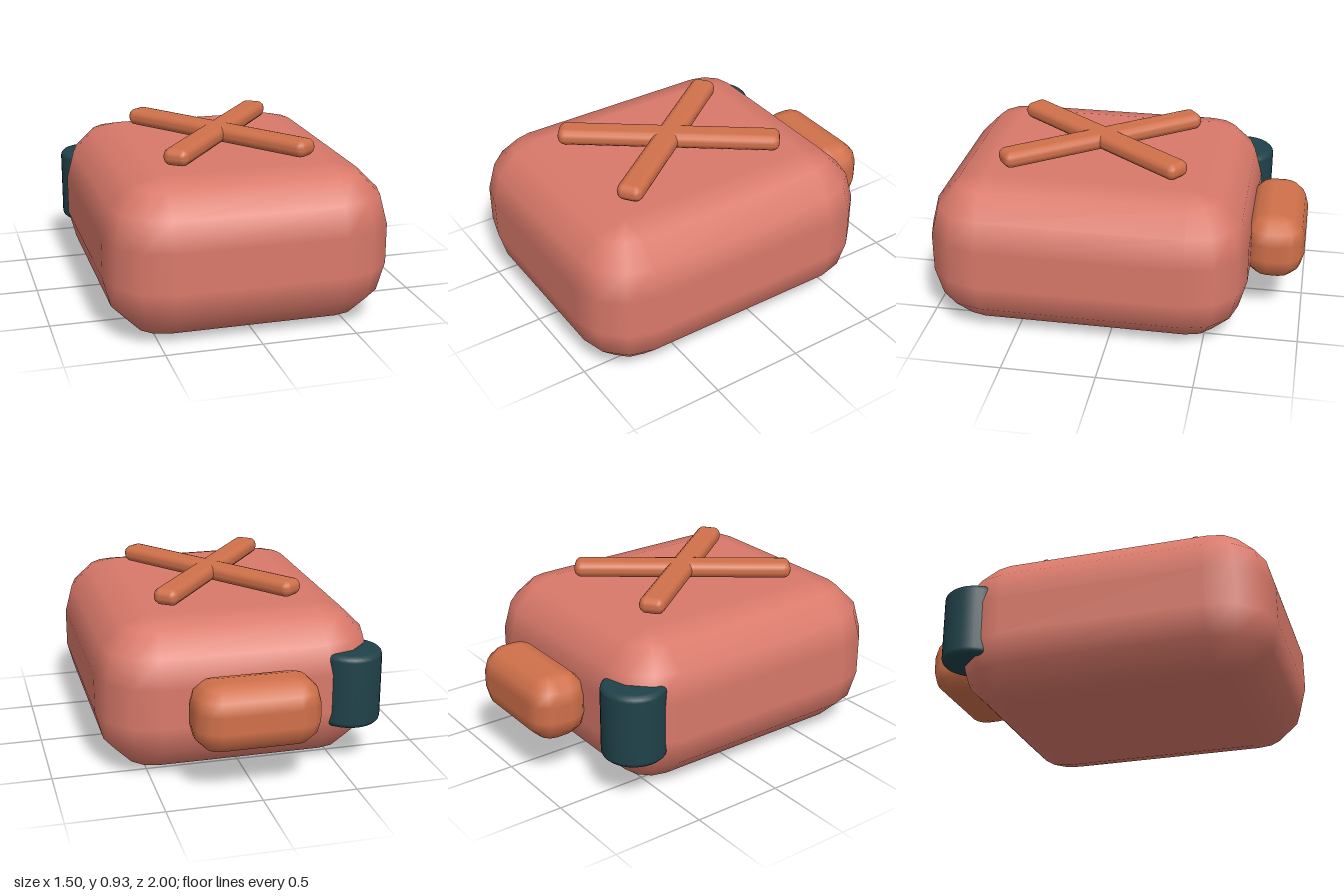
import * as THREE from 'three';

const mat = (name, color) => Object.assign(new THREE.MeshStandardMaterial({ color }), { name });

// Box with three-step rounded edges: a coarse sphere pulled apart into eight corners
function roundBox(w, h, d, r, steps = 3) {
  const pos = [], nor = [], idx = [];
  const rows = 2 * (steps + 1), cols = 4 * (steps + 1);
  const [a, b, c] = [w / 2 - r, h / 2 - r, d / 2 - r];
  for (let i = 0; i < rows; i++) {
    const top = i > steps;
    const lat = ((top ? i - 1 : i) / steps - 1) * Math.PI / 2;
    for (let j = 0; j < cols; j++) {
      const quad = Math.floor(j / (steps + 1));
      const lon = (j - quad) / steps * Math.PI / 2;
      const n = [Math.cos(lat) * Math.cos(lon), Math.sin(lat), Math.cos(lat) * Math.sin(lon)];
      const sx = quad === 0 || quad === 3 ? 1 : -1;
      const sz = quad < 2 ? 1 : -1;
      pos.push(sx * a + n[0] * r, (top ? b : -b) + n[1] * r, sz * c + n[2] * r);
      nor.push(...n);
    }
  }
  for (let i = 0; i < rows - 1; i++) {
    for (let j = 0; j < cols; j++) {
      const k = (j + 1) % cols;
      const p = i * cols + j, q = i * cols + k;
      idx.push(p, p + cols, q, q, p + cols, q + cols);
    }
  }
  // flat bottom and top
  const s = steps + 1, t = (rows - 1) * cols;
  idx.push(0, s, 2 * s, 0, 2 * s, 3 * s);
  idx.push(t, t + 2 * s, t + s, t, t + 3 * s, t + 2 * s);
  const g = new THREE.BufferGeometry();
  g.setAttribute('position', new THREE.Float32BufferAttribute(pos, 3));
  g.setAttribute('normal', new THREE.Float32BufferAttribute(nor, 3));
  g.setIndex(idx);
  return g;
}

export function createModel() {
  const group = new THREE.Group();
  const coral = mat('coral', 0xd9796a);
  const orange = mat('orange', 0xd0704a);
  const dark = mat('darkTeal', 0x20424a);

  const add = (name, geometry, material, x, y, z) => {
    const mesh = new THREE.Mesh(geometry, material);
    mesh.name = name;
    mesh.position.set(x, y, z);
    group.add(mesh);
    return mesh;
  };

  // canister lying on its back
  add('body', roundBox(1.5, 0.83, 1.715, 0.31), coral, 0, 0.415, 0.1425);

  // grip at the back end
  add('grip', roundBox(0.67, 0.36, 0.33, 0.135), orange, 0, 0.42, -0.835);

  // crossed ribs floating just above the upper face
  for (const side of [-1, 1]) {
    add('crossBar', roundBox(0.14, 0.09, 1.2, 0.04), orange, 0, 0.885, 0.142)
      .rotation.y = side * 0.643;
  }

  // round filler cap set into the back corner, with a softened rim
  const r = 0.17, h = 0.2, e = 0.03;
  const profile = [new THREE.Vector2(0, -h)];
  for (const top of [false, true]) {
    for (let i = 0; i <= 3; i++) {
      const t = (top ? i : i - 3) / 3 * Math.PI / 2;
      profile.push(new THREE.Vector2(
        r - e + e * Math.cos(t),
        (top ? h - e : e - h) + e * Math.sin(t)));
    }
  }
  profile.push(new THREE.Vector2(0, h));
  add('fillerCap', new THREE.LatheGeometry(profile, 32), dark, -0.583, 0.425, -0.6);

  return group;
}
